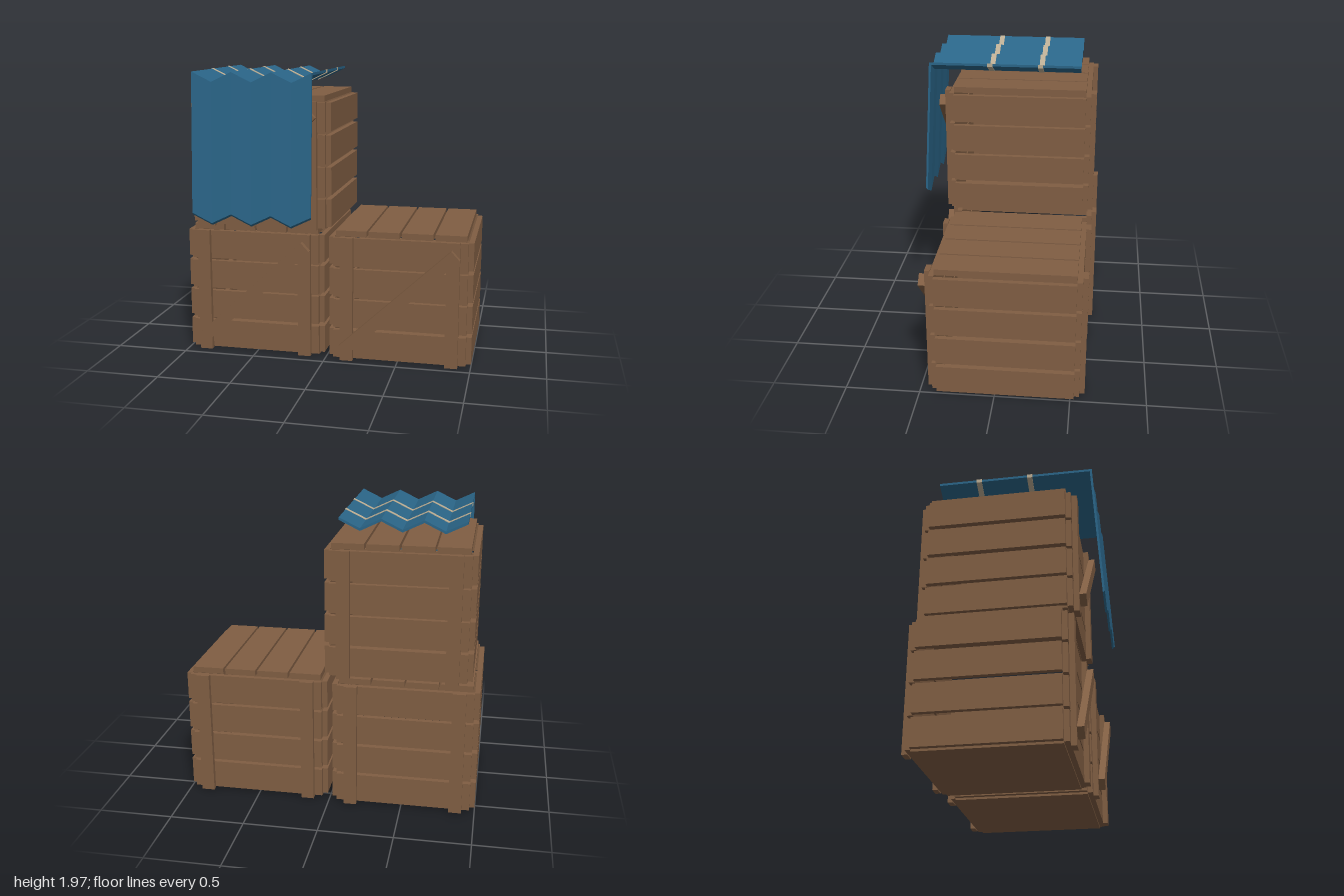
import * as THREE from 'three';

const mat = (name, color) => {
  const m = new THREE.MeshStandardMaterial({ color });
  m.name = name;
  return m;
};

// Solid sheet: a z/y section (outer and inner lines, back to front) repeated along x stations [x, yOffset]
function foldedSheet(stations, outer, inner) {
  const section = [...outer, ...[...inner].reverse()];
  const n = section.length, pos = [];
  const rings = stations.map(([x, dy]) => section.map(([z, y]) => [x, y + dy, z]));
  const quad = (a, b, c, d) => pos.push(...a, ...b, ...c, ...a, ...c, ...d);
  for (let s = 0; s < rings.length - 1; s++) {
    const a = rings[s], b = rings[s + 1];
    for (let j = 0; j < n; j++) {
      const k = (j + 1) % n;
      quad(a[j], a[k], b[k], b[j]);
    }
  }
  // end caps
  const first = rings[0], last = rings[rings.length - 1];
  for (let j = 0; j < outer.length - 1; j++) {
    const q = [j, j + 1, n - 2 - j, n - 1 - j];
    quad(...q.map(i => last[i]));
    quad(...q.reverse().map(i => first[i]));
  }
  const g = new THREE.BufferGeometry();
  g.setAttribute('position', new THREE.Float32BufferAttribute(pos, 3));
  g.computeVertexNormals();
  return g;
}

export function createModel() {
  const model = new THREE.Group();
  model.name = 'crateStack';
  const wood = mat('brown wood', 0x805e43);
  const blue = mat('blue tarp', 0x2a6588);
  const cream = mat('cream strap', 0xbcae94);

  const add = (parent, name, geometry, material, x = 0, y = 0, z = 0) => {
    const m = new THREE.Mesh(geometry, material);
    m.name = name;
    m.position.set(x, y, z);
    parent.add(m);
    return m;
  };

  // Open slatted crate, standing on its own y = 0
  function crate(name, x, y, z) {
    const c = new THREE.Group();
    c.name = name;
    c.position.set(x, y, z);
    model.add(c);

    add(c, 'bottomPanel', new THREE.BoxGeometry(0.91, 0.02, 0.91), wood, 0, 0.01, 0);

    // wall slats
    const sideSlat = new THREE.BoxGeometry(0.035, 0.19, 0.91);
    const frontSlat = new THREE.BoxGeometry(0.91, 0.198, 0.035);
    for (let i = 0; i < 4; i++) {
      const h = 0.11 + i * 0.217;
      for (const s of [-1, 1]) {
        add(c, 'sideSlat', sideSlat, wood, s * 0.4725, h, 0);
        add(c, s > 0 ? 'frontSlat' : 'backSlat', frontSlat, wood, 0, h, s * 0.4725);
      }
    }

    // lid boards
    const lidBoard = new THREE.BoxGeometry(0.211, 0.04, 0.91);
    for (let i = 0; i < 4; i++) {
      add(c, 'lidBoard', lidBoard, wood, (i - 1.5) * 0.2255, 0.882, 0);
    }

    // upright battens on front and back
    const batten = new THREE.BoxGeometry(0.088, 0.865, 0.036);
    for (const sx of [-1, 1]) for (const sz of [-1, 1]) {
      add(c, sz > 0 ? 'frontBatten' : 'backBatten', batten, wood, sx * 0.359, 0.4345, sz * 0.507);
    }

    // diagonal brace
    const brace = add(c, 'diagonalBrace', new THREE.BoxGeometry(1.033, 0.082, 0.044), wood, 0, 0.438, 0.547);
    brace.rotation.z = Math.atan2(0.705, 0.756);
  }

  crate('leftCrate', 0.51, 0, -0.07);
  crate('rightCrate', -0.51, 0, -0.1);
  crate('upperCrate', -0.455, 0.908, -0.07);

  // Zigzag tarp: ridges and valleys across x
  const zigzag = (x0, x1) => Array.from({ length: 7 }, (_, i) =>
    [x0 + (x1 - x0) * i / 6, i % 2 ? -0.066 : 0]);

  add(model, 'tarp', foldedSheet(zigzag(-0.87, -0.052),
    [[-0.482, 1.967], [0.562, 1.967], [0.617, 1.03]],
    [[-0.482, 1.95], [0.548, 1.95], [0.604, 1.016]]), blue);

  // straps wrapped round the top of the tarp
  for (const z of [0.141, -0.207]) {
    add(model, 'strap', foldedSheet(zigzag(-0.873, -0.049),
      [[z - 0.018, 1.971], [z + 0.018, 1.971]],
      [[z - 0.018, 1.946], [z + 0.018, 1.946]]), cream);
  }

  return model;
}
